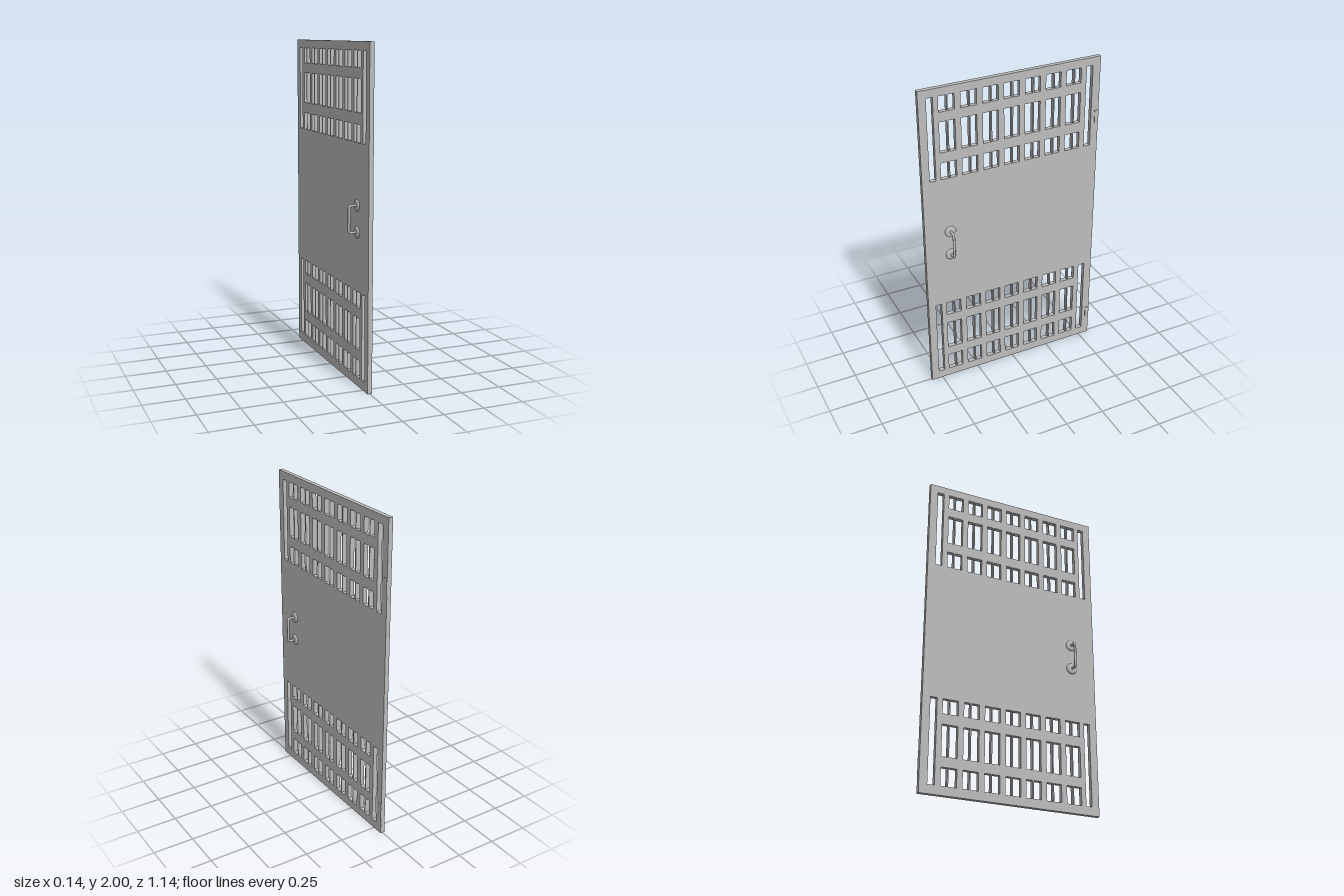
import * as THREE from 'three';

const steel = new THREE.MeshStandardMaterial({ color: 0xbcbcbc });
steel.name = 'grey steel';

const HALF_DEPTH = 0.0138, HALF_WIDTH = 0.571;

function add(parent, name, geometry) {
  const mesh = new THREE.Mesh(geometry, steel);
  mesh.name = name;
  parent.add(mesh);
  return mesh;
}

function rectangle(PathType, x0, x1, y0, y1) {
  return new PathType([[x0, y0], [x1, y0], [x1, y1], [x0, y1]].map(p => new THREE.Vector2(...p)));
}

// Door leaf with two slotted grilles, drawn in (z, y) and extruded along x
function doorGeometry() {
  const shape = rectangle(THREE.Shape, -HALF_WIDTH, HALF_WIDTH, 0, 2);
  const cut = (z0, z1, y0, y1) => shape.holes.push(rectangle(THREE.Path, z0, z1, y0, y1));
  const grilles = [
    [[1.435, 1.54], [1.605, 1.795], [1.855, 1.95]],
    [[0.054, 0.163], [0.225, 0.416], [0.48, 0.571]],
  ];
  for (const rows of grilles) {
    // Tall slots at both sides
    cut(0.484, 0.523, rows[0][0], rows[2][1]);
    cut(-0.521, -0.479, rows[0][0], rows[2][1]);
    // Seven pairs of openings per row
    for (const [y0, y1] of rows) {
      for (let i = -3; i <= 3; i++) {
        const z = i * 0.1333;
        cut(z + 0.003, z + 0.053, y0, y1);
        cut(z - 0.044, z - 0.004, y0, y1);
      }
    }
  }
  const geometry = new THREE.ExtrudeGeometry(shape, { depth: 2 * HALF_DEPTH, bevelEnabled: false });
  return geometry.translate(0, 0, -HALF_DEPTH).rotateY(-Math.PI / 2);
}

// U-shaped pull bar with tightly rounded corners
function pullGeometry(y0, y1) {
  const v = (x, y) => new THREE.Vector3(x, y, 0);
  const out = 0.064, r = 0.014;
  const path = new THREE.CurvePath();
  path.add(new THREE.LineCurve3(v(0.01, y0), v(out - r, y0)));
  path.add(new THREE.QuadraticBezierCurve3(v(out - r, y0), v(out, y0), v(out, y0 + r)));
  path.add(new THREE.LineCurve3(v(out, y0 + r), v(out, y1 - r)));
  path.add(new THREE.QuadraticBezierCurve3(v(out, y1 - r), v(out, y1), v(out - r, y1)));
  path.add(new THREE.LineCurve3(v(out - r, y1), v(0.01, y1)));
  return new THREE.TubeGeometry(path, 80, 0.0078, 12);
}

// Domed round base plate, axis along x
function rosetteGeometry() {
  const profile = [[0.035, 0.012], [0.035, 0.015], [0.033, 0.019], [0.028, 0.022], [0.018, 0.0235], [0, 0.024]];
  return new THREE.LatheGeometry(profile.map(p => new THREE.Vector2(...p)), 32).rotateZ(-Math.PI / 2);
}

export function createModel() {
  const model = new THREE.Group();
  model.name = 'slottedDoor';
  add(model, 'doorLeaf', doorGeometry());

  // One handle on each face
  const low = 0.92, high = 1.077;
  for (const [name, turn] of [['leftHandle', 0], ['rightHandle', Math.PI]]) {
    const handle = new THREE.Group();
    handle.name = name;
    add(handle, 'pullBar', pullGeometry(low, high));
    for (const y of [low, high]) add(handle, 'rosette', rosetteGeometry()).position.y = y;
    handle.position.z = 0.409;
    handle.rotation.y = turn;
    model.add(handle);
  }

  // Thin hinge plates on the back edge
  for (const y of [0.162, 1.615]) {
    add(model, 'hingePlate', new THREE.BoxGeometry(0.006, 0.092, 0.026))
      .position.set(0.014, y, -HALF_WIDTH + 0.0132);
  }
  return model;
}
